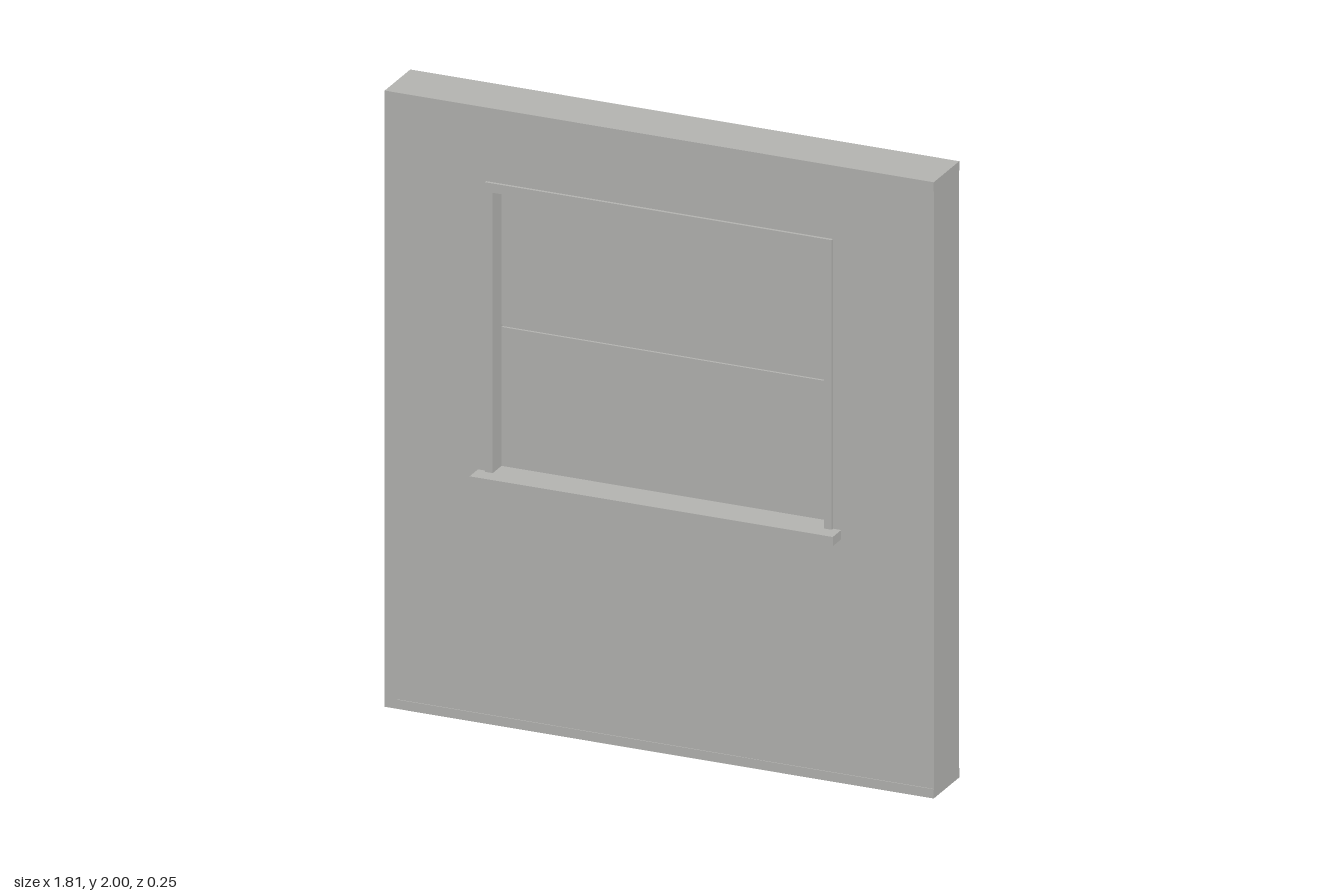
import * as THREE from 'three';

const grey = new THREE.MeshStandardMaterial({ color: 0xb2b2af });

// Rectangular slab with a rectangular hole, extruded from z0 to z1
function framedSlab(name, [x, y0, y1], [hx, hy0, hy1], z0, z1) {
  const rect = (T, w, a, b) => {
    const s = new T();
    s.moveTo(-w, a); s.lineTo(w, a); s.lineTo(w, b); s.lineTo(-w, b); s.closePath();
    return s;
  };
  const shape = rect(THREE.Shape, x, y0, y1);
  shape.holes.push(rect(THREE.Path, hx, hy0, hy1));
  const geo = new THREE.ExtrudeGeometry(shape, { depth: z1 - z0, bevelEnabled: false });
  geo.translate(0, 0, z0);
  const mesh = new THREE.Mesh(geo, grey);
  mesh.name = name;
  return mesh;
}

// Box given by its limits on each axis
function block(name, [x0, x1], [y0, y1], [z0, z1]) {
  const mesh = new THREE.Mesh(new THREE.BoxGeometry(x1 - x0, y1 - y0, z1 - z0), grey);
  mesh.position.set((x0 + x1) / 2, (y0 + y1) / 2, (z0 + z1) / 2);
  mesh.name = name;
  return mesh;
}

export function createModel() {
  const model = new THREE.Group();
  model.name = 'wallWithWindow';

  // Wall panel with slightly proud edge strips
  const W = 0.907, back = -0.117, front = 0.065, lip = 0.003;
  model.add(framedSlab('wall', [W, 0.03, 1.97], [0.573, 0.79, 1.76], back, front));
  for (const [name, y] of [['bottomPlate', 0], ['topPlate', 1.97]]) {
    model.add(block(name, [-W, W], [y, y + 0.03], [back - lip, front + lip]));
  }
  model.add(block('edgeStrip', [-W, -W + 0.04], [0.03, 1.97], [front, front + lip]));

  // Window frame through the wall, standing proud on both faces
  model.add(framedSlab('windowFrame', [0.573, 0.79, 1.76], [0.547, 0.82, 1.73], -0.127, 0.075));

  // Projecting sill
  model.add(block('sill', [-0.6, 0.6], [0.79, 0.82], [front, 0.127]));

  // Two sashes, with a fine joint backed by a thinner core
  const mid = 1.275, gap = 0.004;
  model.add(block('lowerSash', [-0.547, 0.547], [0.82, mid - gap], [-0.06, 0.01]));
  model.add(block('upperSash', [-0.547, 0.547], [mid + gap, 1.73], [-0.06, 0.01]));
  model.add(block('sashJoint', [-0.547, 0.547], [mid - gap, mid + gap], [-0.052, 0.002]));

  return model;
}
